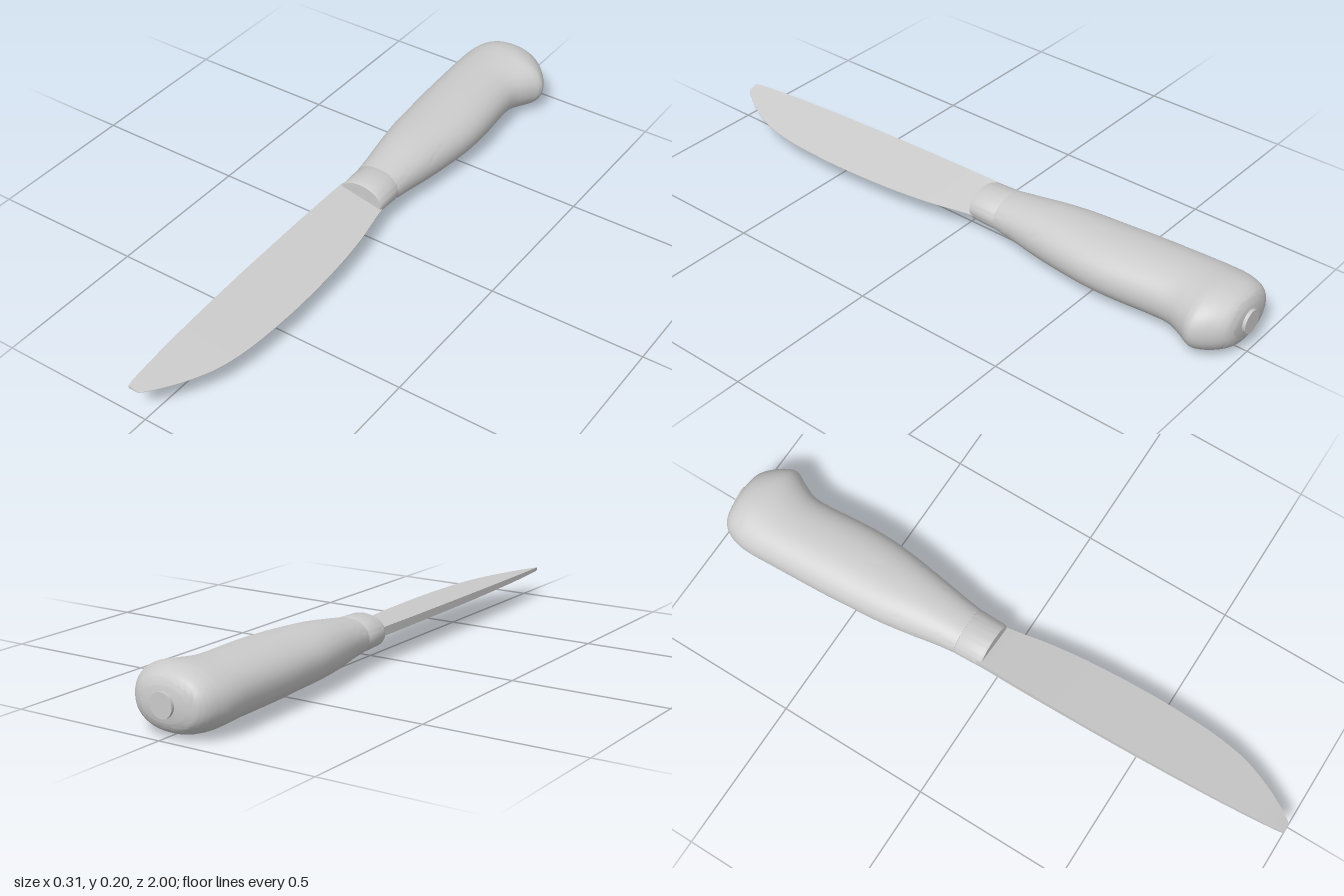
import * as THREE from 'three';
import { toCreasedNormals } from 'three/addons/utils/BufferGeometryUtils.js';

const material = new THREE.MeshStandardMaterial({ color: 0xcccccc });

// Skin over closed rings (counter-clockwise seen from +z, ordered from -z to +z), capped at both ends
function loft(rings, crease) {
  const n = rings[0].length, positions = rings.flat(2), index = [];
  for (let i = 0; i < rings.length - 1; i++) {
    for (let j = 0; j < n; j++) {
      const k = (j + 1) % n;
      const a = i * n + j, b = i * n + k, c = a + n, d = b + n;
      index.push(a, b, c, b, d, c);
    }
  }
  const last = (rings.length - 1) * n;
  for (let j = 1; j < n - 1; j++) {
    index.push(0, j + 1, j, last, last + j, last + j + 1);
  }
  const geometry = new THREE.BufferGeometry();
  geometry.setAttribute('position', new THREE.Float32BufferAttribute(positions, 3));
  geometry.setIndex(index);
  return toCreasedNormals(geometry, crease);
}

// Rounded cross-section from its extents
function oval(z, x0, x1, y0, y1, power = 2.15) {
  const bend = v => Math.sign(v) * Math.pow(Math.abs(v), 2 / power);
  return Array.from({ length: 48 }, (_, i) => {
    const a = i / 48 * Math.PI * 2;
    return [
      (x0 + x1) / 2 + (x1 - x0) / 2 * bend(Math.cos(a)),
      (y0 + y1) / 2 + (y1 - y0) / 2 * bend(Math.sin(a)), z];
  });
}

// Smoothly resample a table of stations, column by column
function resample(rows, steps) {
  const out = [];
  for (let i = 0; i < rows.length - 1; i++) {
    const p = [rows[Math.max(i - 1, 0)], rows[i], rows[i + 1], rows[Math.min(i + 2, rows.length - 1)]];
    for (let s = 0; s < steps; s++) {
      const t = s / steps, h = p[2][0] - p[1][0];
      out.push(rows[i].map((_, c) => {
        if (c === 0) return p[1][0] + h * t;
        const m1 = (p[2][c] - p[0][c]) / (p[2][0] - p[0][0]) * h;
        const m2 = (p[3][c] - p[1][c]) / (p[3][0] - p[1][0]) * h;
        const t2 = t * t, t3 = t2 * t;
        return (2 * t3 - 3 * t2 + 1) * p[1][c] + (t3 - 2 * t2 + t) * m1
          + (3 * t2 - 2 * t3) * p[2][c] + (t3 - t2) * m2;
      }));
    }
  }
  out.push(rows[rows.length - 1]);
  return out;
}

export function createModel() {
  const model = new THREE.Group();
  model.name = 'knife';
  const add = (name, geometry) => {
    const mesh = new THREE.Mesh(geometry, material);
    mesh.name = name;
    model.add(mesh);
    return mesh;
  };

  // Handle with hooked butt: z, left, right, bottom, top
  const handle = [
    [-0.99, -0.085, 0.065, 0.05, 0.15],
    [-0.98, -0.115, 0.09, 0.03, 0.172],
    [-0.955, -0.137, 0.117, 0.013, 0.188],
    [-0.92, -0.149, 0.143, 0.004, 0.196],
    [-0.89, -0.154, 0.153, 0.002, 0.197],
    [-0.85, -0.155, 0.133, 0.006, 0.194],
    [-0.8, -0.153, 0.111, 0.011, 0.191],
    [-0.75, -0.151, 0.106, 0.012, 0.19],
    [-0.6, -0.145, 0.117, 0.012, 0.188],
    [-0.5, -0.138, 0.118, 0.014, 0.185],
    [-0.4, -0.13, 0.108, 0.016, 0.182],
    [-0.3, -0.115, 0.093, 0.02, 0.176],
    [-0.2, -0.098, 0.077, 0.032, 0.163],
    [-0.14, -0.09, 0.069, 0.038, 0.154],
  ];
  add('handle', loft(resample(handle, 5).map(r => oval(...r)), 0.7));

  // Ferrule with softened rims
  add('ferrule', loft([
    oval(-0.145, -0.087, 0.067, 0.041, 0.151, 2),
    oval(-0.138, -0.091, 0.07, 0.038, 0.154, 2),
    oval(-0.052, -0.088, 0.068, 0.041, 0.151, 2),
    oval(-0.045, -0.085, 0.065, 0.044, 0.148, 2),
  ], 0.7));

  // Tang button on the butt
  const button = add('tangButton', new THREE.CylinderGeometry(0.037, 0.037, 0.02, 24));
  button.rotation.x = Math.PI / 2;
  button.position.set(-0.01, 0.1, -0.99);

  // Blade, a slightly tilted wedge: z, spine x, edge x, spine thickness
  const blade = [
    [-0.06, -0.087, 0.066, 0.028],
    [0, -0.087, 0.076, 0.028],
    [0.1, -0.087, 0.095, 0.027],
    [0.25, -0.085, 0.112, 0.026],
    [0.45, -0.081, 0.121, 0.024],
    [0.6, -0.076, 0.118, 0.022],
    [0.7, -0.072, 0.11, 0.02],
    [0.8, -0.067, 0.09, 0.018],
    [0.9, -0.06, 0.048, 0.015],
    [0.98, -0.053, 0, 0.012],
    [1, -0.049, -0.017, 0.01],
  ];
  const middle = x => 0.103 - (x + 0.085) * 0.127;
  add('blade', loft(resample(blade, 4).map(([z, s, e, t]) => [
    [s, middle(s) + t / 2, z],
    [s, middle(s) - t / 2, z],
    [e, middle(e) - 0.001, z],
    [e, middle(e) + 0.001, z],
  ]), 0.5));

  return model;
}
